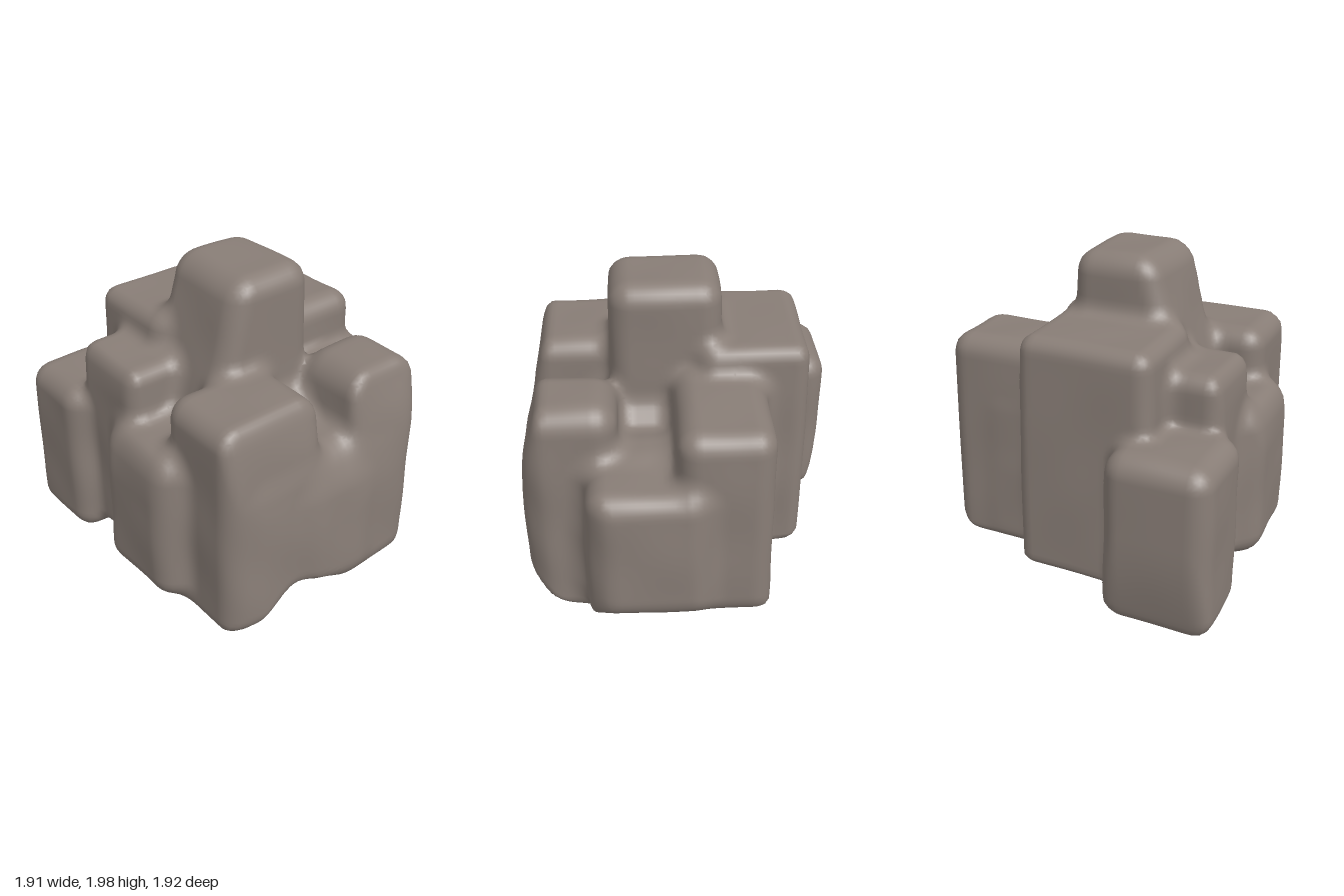
import * as THREE from 'three';

// Blocks of the boulder: [x0, x1, y0, y1, z0, z1, top inset, corner radius, lean of the x0 side]
const BLOCKS = [
  [-0.64, 0.64, 0.2, 1.17, -0.46, 0.58, 0.03, 0.12, 0],    // core
  [-0.02, 0.58, 0.02, 0.8, -0.42, 0.6, 0, 0.14, 0],        // underside ridge
  [-0.7, 0.175, 0.6, 1.99, -0.25, 0.39, 0.01, 0.12, 0.36], // tower
  [-0.45, 0.3, 0.8, 1.27, -0.2, 0.53, 0.08, 0.1, 0],       // tower foot
  [-0.54, 0.27, 0.2, 1.645, -0.75, -0.1, 0.02, 0.09, 0],   // back slab
  [0.1, 0.86, 0.1, 1.49, -0.5, 0.05, 0.015, 0.12, 0],      // left side, tall
  [0.3, 0.955, 0.1, 1.165, -0.15, 0.55, 0.02, 0.12, 0],    // left side, low
  [-0.8, -0.14, 0.13, 1.475, 0.28, 0.87, 0.01, 0.12, 0],   // front right
  [-0.05, 0.585, 0.01, 1.475, 0.34, 0.91, 0.01, 0.14, 0.14], // front left
  [-0.7, 0.45, 0.12, 1.14, 0.3, 0.89, 0.04, 0.13, 0],      // front face
  [-0.35, 0.2, 0.2, 1.05, 0.5, 0.95, 0.02, 0.18, 0],       // front bulge
  [-0.83, -0.4, 0.25, 1.475, -0.5, 0.05, 0.01, 0.09, 0],   // right side, tall
  [-0.955, -0.4, 0.22, 1.17, -0.14, 0.49, 0.01, 0.14, 0],  // right side, low
];
const CORNER = [-0.95, -0.33, 0.17, 1.18, -0.96, -0.4, 0.01, 0.12, 0]; // back right corner

const smin = (a, b, k) => {
  const h = Math.max(k - Math.abs(a - b), 0) / k;
  return Math.min(a, b) - h * h * k * 0.25;
};
const smax = (a, b, k) => -smin(-a, -b, k);

// Distance to a rounded box that narrows towards its top
function block([x0, x1, y0, y1, z0, z1, inset, r, lean], x, y, z) {
  const t = Math.min(1, Math.max(0, (y - y0) / (y1 - y0)));
  const s = inset * t * t + r;
  const left = x0 + lean * t;
  const qx = Math.abs(x - (left + x1) / 2) - (x1 - left) / 2 + s;
  const qy = Math.abs(y - (y0 + y1) / 2) - (y1 - y0) / 2 + r;
  const qz = Math.abs(z - (z0 + z1) / 2) - (z1 - z0) / 2 + s;
  return Math.hypot(Math.max(qx, 0), Math.max(qy, 0), Math.max(qz, 0))
    + Math.min(Math.max(qx, qy, qz), 0) - r;
}

const ball = (x, y, z, cx, cy, cz, r) => Math.hypot(x - cx, y - cy, z - cz) - r;

// The whole rock as one distance field
function field(x, y, z) {
  let d = 9;
  for (const b of BLOCKS) d = smin(d, block(b, x, y, z), 0.1);
  // chamfers under the left side and the front, and on the front left edge
  d = smax(d, (x - y - 0.57) * 0.707, 0.06);
  d = smax(d, (z - 1.2 * y - 0.63) * 0.64, 0.06);
  d = smax(d, (x + z - 1.39) * 0.707, 0.06);
  // upper front and upper right side leaning inwards
  d = smax(d, (z + 0.28 * y - 1.2) * 0.96, 0.06);
  d = smax(d, (0.33 * y - x - 1.29) * 0.95, 0.05);
  // underside rising towards the back
  d = smax(d, 0.11 - 0.2 * z - y, 0.06);
  // hollow underside, with a lump left inside, and the notch at the front
  d = smax(d, -ball(x, y, z, -0.15, -0.1, 0, 0.44), 0.14);
  d = smax(d, -ball(x, y, z, -0.3, 0.05, 0.85, 0.27), 0.12);
  d = smin(d, ball(x, y, z, -0.2, 0.28, 0.3, 0.21), 0.18);
  // the back right corner narrows towards its foot
  const corner = smax(block(CORNER, x, y, z), -z - 0.2 * y - 0.86, 0.05);
  d = smin(d, corner, 0.07);
  // weathered surface
  return d + 0.007 * Math.sin(9 * x + 3 * y) * Math.sin(8 * y + 2) * Math.sin(9 * z + x);
}

// Surface net: one vertex per crossed cell, one quad per crossed edge
function netGeometry(step) {
  const lo = [-1.1, -0.1, -1.1];
  const n = Math.ceil(2.2 / step) + 1;
  const stride = [1, n, n * n];
  const val = new Float32Array(n * n * n);
  const at = (i, j, k) => i + j * n + k * n * n;
  for (let k = 0; k < n; k++) for (let j = 0; j < n; j++) for (let i = 0; i < n; i++) {
    val[at(i, j, k)] = field(lo[0] + i * step, lo[1] + j * step, lo[2] + k * step);
  }
  const ids = new Int32Array(n * n * n).fill(-1);
  const pos = [], nor = [], index = [];
  for (let k = 0; k < n - 1; k++) for (let j = 0; j < n - 1; j++) for (let i = 0; i < n - 1; i++) {
    const base = at(i, j, k), sum = [0, 0, 0];
    let count = 0;
    for (let c = 0; c < 8; c++) for (let a = 0; a < 3; a++) {
      if (c & (1 << a)) continue;
      const o = [c & 1, (c >> 1) & 1, c >> 2];
      const p = base + o[0] + o[1] * n + o[2] * n * n;
      const v0 = val[p], v1 = val[p + stride[a]];
      if ((v0 < 0) === (v1 < 0)) continue;
      o[a] += v0 / (v0 - v1);
      o.forEach((v, m) => { sum[m] += v; });
      count++;
    }
    if (!count) continue;
    ids[base] = pos.length / 3;
    const [x, y, z] = [i, j, k].map((g, m) => lo[m] + (g + sum[m] / count) * step);
    const e = 0.012;
    const g = new THREE.Vector3(
      field(x + e, y, z) - field(x - e, y, z),
      field(x, y + e, z) - field(x, y - e, z),
      field(x, y, z + e) - field(x, y, z - e)).normalize();
    pos.push(x, y, z);
    nor.push(g.x, g.y, g.z);
  }
  for (let k = 1; k < n - 1; k++) for (let j = 1; j < n - 1; j++) for (let i = 1; i < n - 1; i++) {
    const p = at(i, j, k);
    for (let a = 0; a < 3; a++) {
      const inside = val[p] < 0;
      if (inside === (val[p + stride[a]] < 0)) continue;
      const u = stride[(a + 1) % 3], v = stride[(a + 2) % 3];
      const q = [ids[p - u - v], ids[p - v], ids[p], ids[p - u]];
      if (!inside) q.reverse();
      index.push(q[0], q[1], q[2], q[0], q[2], q[3]);
    }
  }
  const geo = new THREE.BufferGeometry();
  geo.setAttribute('position', new THREE.Float32BufferAttribute(pos, 3));
  geo.setAttribute('normal', new THREE.Float32BufferAttribute(nor, 3));
  geo.setIndex(index);
  return geo;
}

export function createModel() {
  const group = new THREE.Group();
  group.name = 'boulder';
  const stone = new THREE.MeshStandardMaterial({ color: 0x887d76 });
  stone.name = 'warm grey stone';
  const rock = new THREE.Mesh(netGeometry(0.03), stone);
  rock.name = 'rock';
  group.add(rock);
  return group;
}
